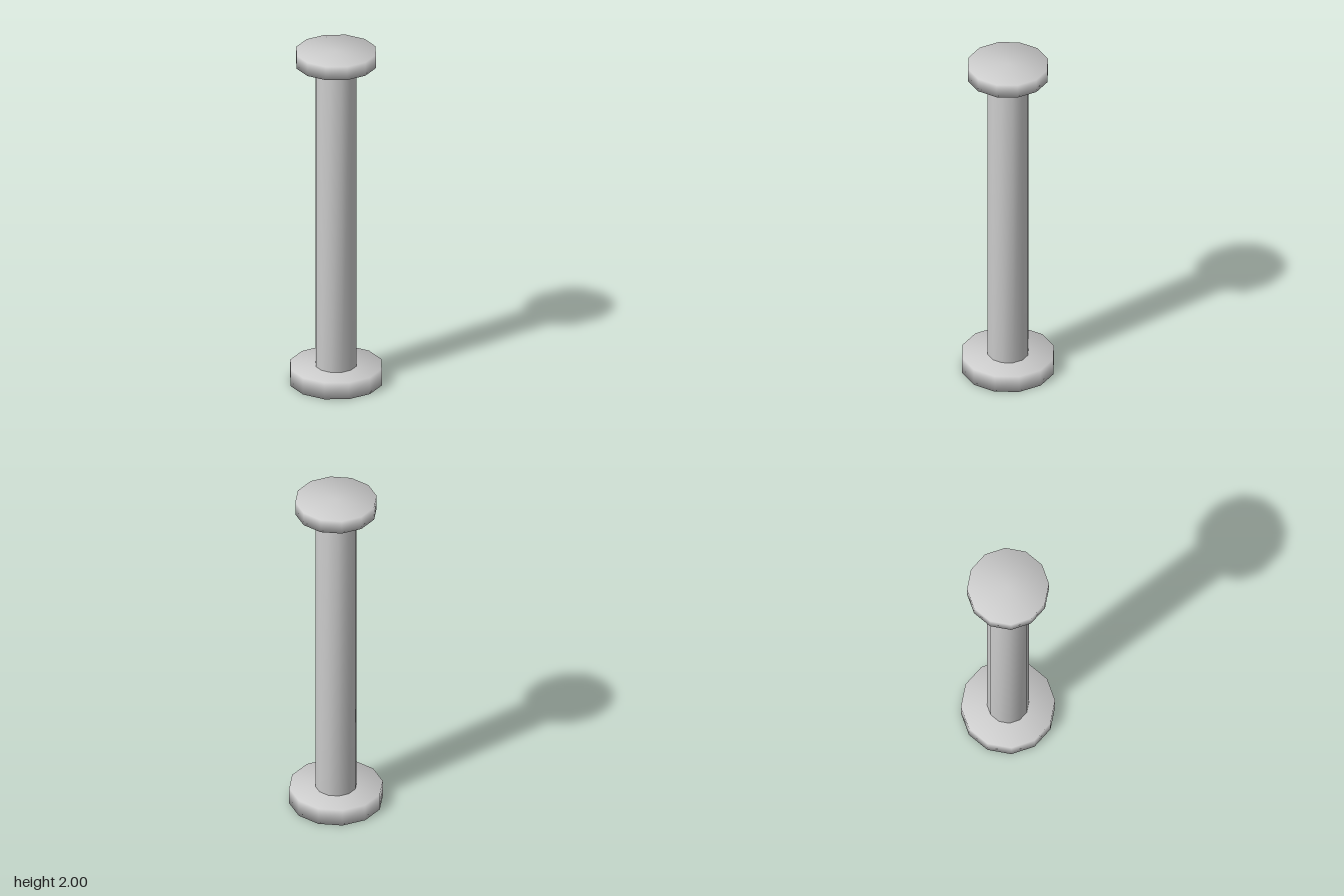
import * as THREE from 'three';
import { mergeVertices } from 'three/addons/utils/BufferGeometryUtils.js';

const SIDES = 12;

// Twelve-sided disc or shaft spanning y0..y1, with normals smoothed over its rims
function roundPart(name, radius, y0, y1, material) {
  const source = new THREE.CylinderGeometry(radius, radius, y1 - y0, SIDES);
  source.deleteAttribute('uv');
  source.deleteAttribute('normal');
  const geometry = mergeVertices(source, 1e-4);
  geometry.computeVertexNormals();
  const mesh = new THREE.Mesh(geometry, material);
  mesh.name = name;
  mesh.position.y = (y0 + y1) / 2;
  return mesh;
}

export function createModel() {
  const group = new THREE.Group();
  group.name = 'column';
  const grey = new THREE.MeshStandardMaterial({ color: 0xcccccc });

  group.add(
    roundPart('base', 0.262, 0, 0.1, grey),
    // The shaft ends just inside both discs so no faces coincide
    roundPart('shaft', 0.116, 0.01, 1.99, grey),
    roundPart('capital', 0.228, 1.92, 2, grey)
  );
  return group;
}
